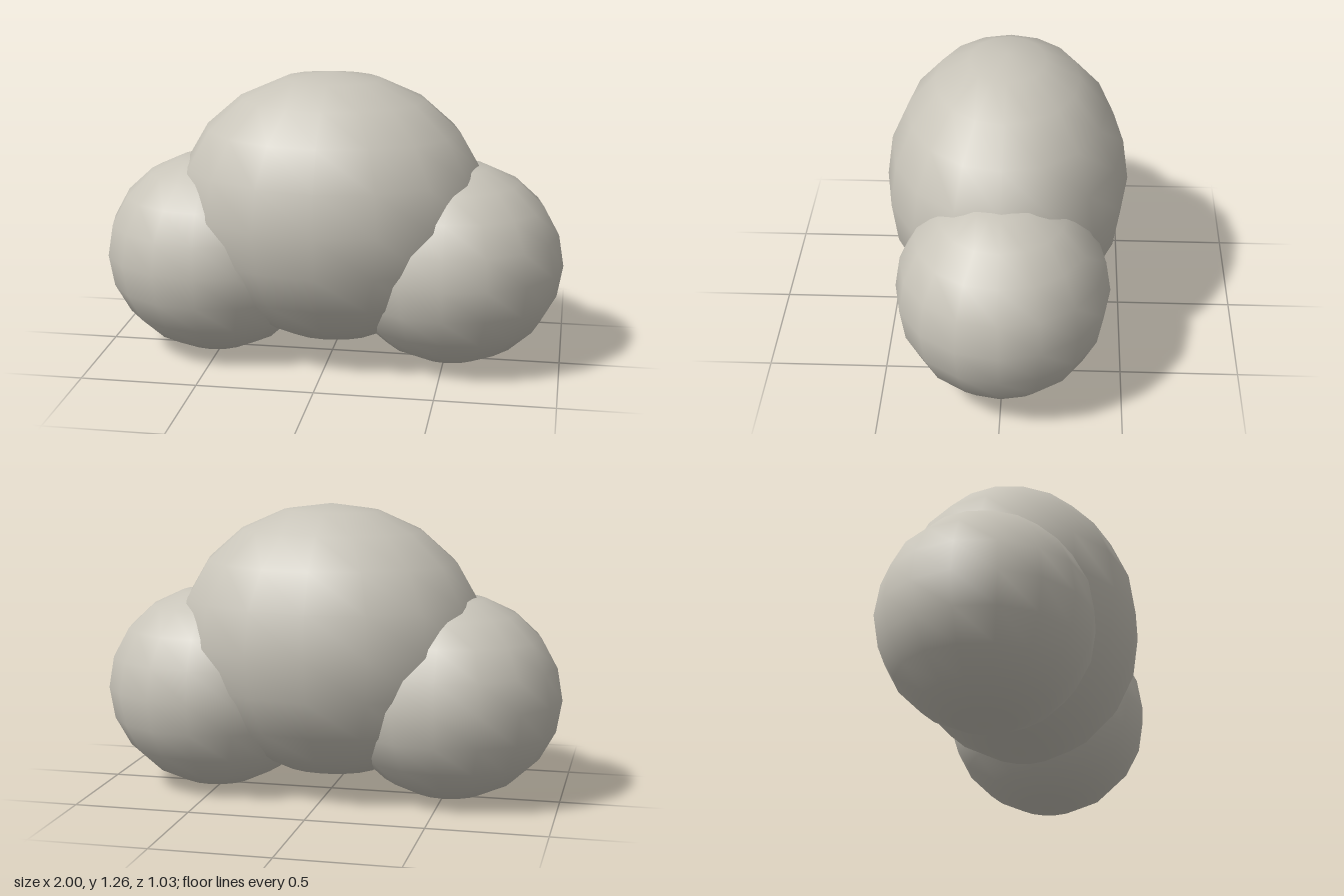
import * as THREE from 'three';

const stone = new THREE.MeshStandardMaterial({ color: 0xc8c4b9 });
stone.name = 'warm grey';

// Smooth low-poly ellipsoid: 16 sides, 10 rings
function ellipsoid(name, center, radii) {
  const geometry = new THREE.SphereGeometry(1, 16, 10);
  geometry.scale(...radii);
  const mesh = new THREE.Mesh(geometry, stone);
  mesh.name = name;
  mesh.position.set(...center);
  return mesh;
}

export function createModel() {
  const group = new THREE.Group();
  group.name = 'threeLobedMound';

  // Large central lobe
  group.add(ellipsoid('centreLobe', [0, 0.67, 0], [0.675, 0.59, 0.517]));

  // Mirrored lower lobes
  for (const side of [1, -1]) {
    const name = side > 0 ? 'leftLobe' : 'rightLobe';
    group.add(ellipsoid(name, [side * 0.52, 0.446, 0], [0.48, 0.444, 0.443]));
  }
  return group;
}
